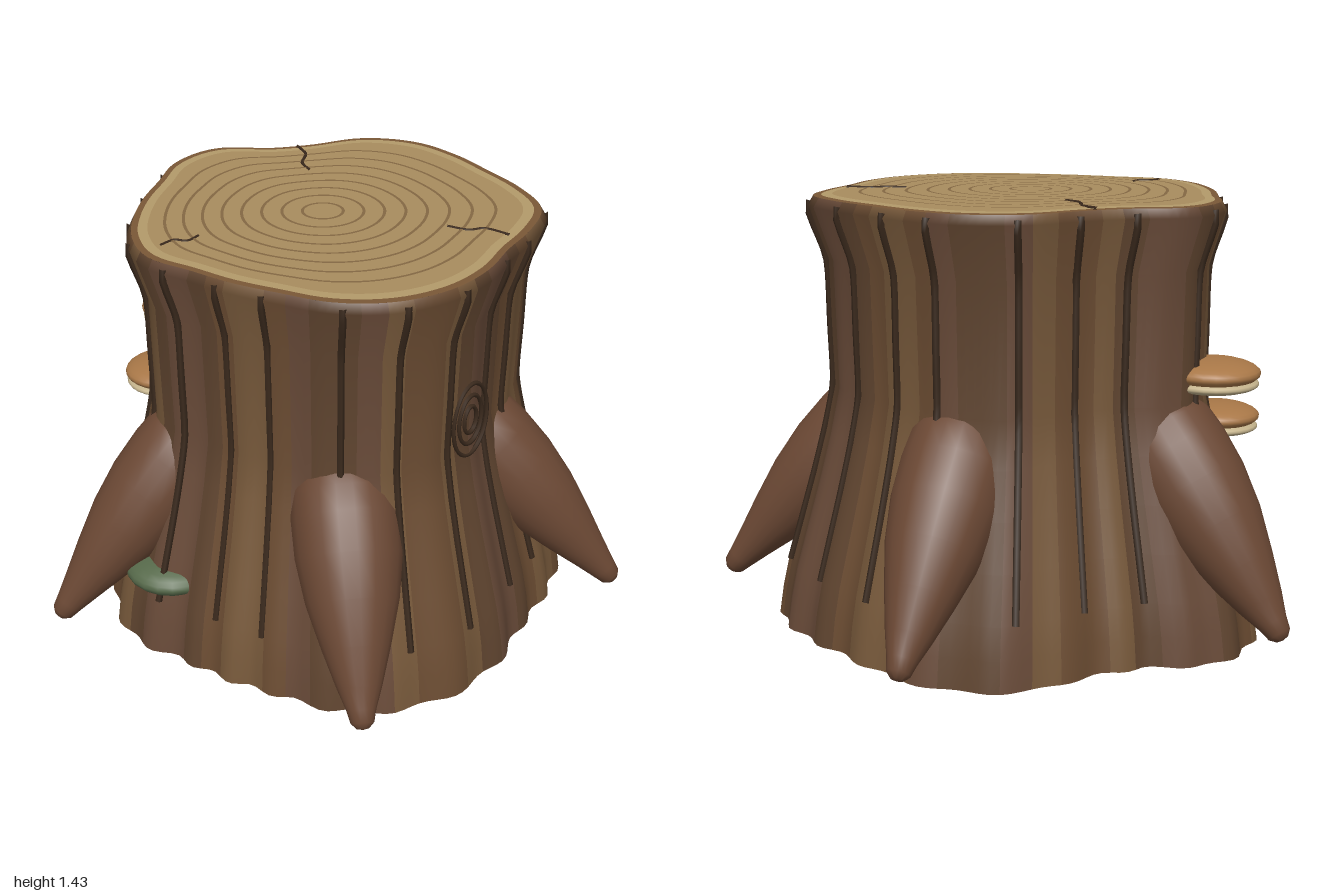
import * as THREE from 'three';
import { toCreasedNormals } from 'three/addons/utils/BufferGeometryUtils.js';

const CX = -0.04, CZ = -0.07, TOP = 1.425, TAU = Math.PI * 2;

// Radius of the cut face every 15 degrees, counted from +x towards +z
const RADII = [0.72, 0.68, 0.65, 0.675, 0.7, 0.703, 0.673, 0.62, 0.602, 0.602, 0.643, 0.635,
  0.615, 0.611, 0.628, 0.69, 0.705, 0.625, 0.632, 0.71, 0.733, 0.705, 0.683, 0.7];
// Height and width factor of the trunk, foot to rim
const PROFILE = [[0, 1.2], [0.1, 1.18], [0.2, 1.15], [0.35, 1.09], [0.5, 1.03], [0.65, 0.975],
  [0.8, 0.93], [1.22, 0.945], [1.395, 1.03], [TOP, 1.005]];

const mat = (color, side = THREE.FrontSide) =>
  new THREE.MeshStandardMaterial({ color, side, roughness: 0.9 });
const DARK = mat(0x3b2a1d);

function outline(a) {
  const n = RADII.length, u = (((a / TAU) % 1) + 1) % 1 * n;
  const i = Math.floor(u), t = u - i;
  const [p, q, r, s] = [-1, 0, 1, 2].map(k => RADII[(i + k + n) % n]);
  return q + 0.5 * t * (r - p + t * (2 * p - 5 * q + 4 * r - s + t * (3 * (q - r) + s - p)));
}

function barkRadius(a, y) {
  let k = 1;
  while (k < PROFILE.length - 1 && PROFILE[k][0] < y) k++;
  const [y0, f0] = PROFILE[k - 1], [y1, f1] = PROFILE[k];
  const f = f0 + (f1 - f0) * (y - y0) / (y1 - y0);
  const flare = Math.pow(1 - y / TOP, 1.2);
  const ripple = 0.013 * Math.sin(25 * a + 1.5 * Math.sin(3 * a));
  const bulge = 0.03 * Math.pow(Math.max(0, Math.cos(a - 3.45)), 4);
  return outline(a) * f + flare * (ripple + bulge);
}

const polar = (a, r, y) => new THREE.Vector3(CX + r * Math.cos(a), y, CZ + r * Math.sin(a));

function add(parent, name, geometry, material) {
  const mesh = new THREE.Mesh(geometry, material);
  mesh.name = name;
  parent.add(mesh);
  return mesh;
}

function group(parent, name) {
  const g = new THREE.Group();
  g.name = name;
  parent.add(g);
  return g;
}

// Flared, open trunk with vertical strips of different browns
function bark() {
  const N = 168, pos = [], lists = [[], [], [], []];
  for (const [y] of PROFILE)
    for (let i = 0; i < N; i++) pos.push(...polar(i / N * TAU, barkRadius(i / N * TAU, y), y).toArray());
  for (let i = 0; i < N; i++) {
    const strip = Math.floor(i / 3), tone = (strip * strip * 7 + strip * 3 + (strip >> 2)) % 4;
    const n = (i + 1) % N;
    for (let j = 0; j < PROFILE.length - 1; j++) {
      const a = j * N + i, b = j * N + n;
      lists[tone].push(a, a + N, b, b, a + N, b + N);
    }
  }
  const g = new THREE.BufferGeometry();
  g.setAttribute('position', new THREE.Float32BufferAttribute(pos, 3));
  g.setIndex(lists.flat());
  let start = 0;
  lists.forEach((l, k) => { g.addGroup(start, l.length, k); start += l.length; });
  g.computeVertexNormals();
  return g;
}

// Flat loop on the cut face; radius is a function of the angle
const loop = radius => Array.from({ length: 120 }, (_, i) => {
  const p = polar(i / 120 * TAU, radius(i / 120 * TAU), 0);
  return new THREE.Vector2(p.x, -p.z);
});

// Flat slice inside one loop, optionally outside another
function slice(outer, inner) {
  const shape = new THREE.Shape(loop(outer));
  if (inner) shape.holes.push(new THREE.Path(loop(inner)));
  return new THREE.ShapeGeometry(shape).rotateX(-Math.PI / 2);
}

// Tapering root: lathe along its axis, with a blunt upper end and a rounded tip
function root(deg, reach, r) {
  const a = deg * Math.PI / 180;
  const from = polar(a, outline(a) * 0.77, 0.685), to = polar(a, reach, 0.122);
  const axis = to.clone().sub(from), L = axis.length();
  const pts = [[0, -0.06], [r * 0.85, -0.05], [r * 0.98, 0.005], [r * 1.02, L * 0.12], [r, L * 0.3],
    [r * 0.87, L * 0.5], [r * 0.64, L * 0.7], [r * 0.42, L * 0.87], [0.048, L * 0.97],
    [0.038, L + 0.018], [0.02, L + 0.036], [0, L + 0.04]].map(p => new THREE.Vector2(...p));
  const g = toCreasedNormals(new THREE.LatheGeometry(pts, 20), 0.9);
  g.applyQuaternion(new THREE.Quaternion().setFromUnitVectors(new THREE.Vector3(0, 1, 0), axis.normalize()));
  return g.translate(from.x, from.y, from.z);
}

export function createModel() {
  const model = new THREE.Group();
  model.name = 'treeStump';

  add(model, 'bark', bark(), [0x6b4c32, 0x5f442f, 0x76583a, 0x684a38].map(c => mat(c, THREE.DoubleSide)));

  // Cut face
  const cut = group(model, 'cutFace');
  add(cut, 'barkRim', slice(a => outline(a) * 1.005), mat(0x7a5837, THREE.DoubleSide)).position.y = TOP;
  add(cut, 'sapwood', slice(a => outline(a) * 0.97), mat(0xb39a6a)).position.y = TOP + 0.002;
  add(cut, 'heartwood', slice(a => outline(a) * 0.92), mat(0xa88c5e)).position.y = TOP + 0.004;

  // Growth rings become less round towards the bark
  const ringMat = mat(0x846843);
  for (let k = 1; k <= 8; k++) {
    const t = k * 0.102, radius = a => t * (0.66 + (outline(a) - 0.66) * t * t);
    const ring = slice(a => radius(a) + 0.005, a => radius(a) - 0.005);
    add(cut, 'growthRing', ring, ringMat).position.y = TOP + 0.006;
  }

  // Cracks as x, z points
  for (const path of [
    [[-0.1, -0.68], [-0.075, -0.6], [-0.09, -0.51], [-0.065, -0.44]],
    [[-0.565, 0.175], [-0.52, 0.135], [-0.48, 0.145], [-0.445, 0.105]],
    [[0.355, 0.075], [0.42, 0.11], [0.47, 0.1], [0.545, 0.155]],
  ]) {
    const curve = new THREE.CatmullRomCurve3(path.map(([x, z]) => new THREE.Vector3(x, TOP + 0.003, z)));
    add(cut, 'crack', new THREE.TubeGeometry(curve, 16, 0.006, 5), DARK);
  }

  // Dark bark ridges following the trunk
  const ridges = group(model, 'barkRidges');
  for (let k = 0; k < 20; k++) {
    const a = (k + 0.12 * Math.sin(k * 2.3)) / 20 * TAU, pts = [];
    for (const y of [0.2, 0.35, 0.5, 0.65, 0.78, 0.82, 1.0, 1.2, 1.24, 1.385, 1.41])
      pts.push(polar(a, barkRadius(a, y) + 0.003, y));
    const curve = new THREE.CatmullRomCurve3(pts, false, 'centripetal');
    add(ridges, 'barkRidge', new THREE.TubeGeometry(curve, 30, 0.012, 5), DARK);
  }

  // Five spreading roots: angle, reach, thickness
  const rootMat = mat(0x6b4834);
  for (const [deg, reach, r] of [[14, 1.03, 0.16], [86, 0.99, 0.176], [159, 0.98, 0.162],
    [233, 1.0, 0.178], [305, 1.035, 0.175]])
    add(model, 'root', root(deg, reach, r), rootMat);

  // Oval knot of nested rings
  const knot = group(model, 'knot'), ka = Math.PI / 4;
  knot.position.copy(polar(ka, barkRadius(ka, 0.885) + 0.004, 0.885));
  knot.rotation.y = Math.PI / 2 - ka;
  knot.scale.x = 0.67;
  for (const r of [0.13, 0.088, 0.048]) add(knot, 'knotRing', new THREE.TorusGeometry(r, 0.008, 6, 36), DARK);

  // Shelf mushrooms: domed cap over a pale underside
  const capMat = mat(0xa87747), gillMat = mat(0xc4b38c);
  for (const [x, y, z, r] of [[-0.53, 0.88, -0.53, 0.155], [-0.605, 0.7, -0.37, 0.142]]) {
    const shelf = group(model, 'shelfMushroom');
    shelf.position.set(x, y, z);
    add(shelf, 'mushroomCap', new THREE.SphereGeometry(r, 24, 14), capMat).scale.y = 0.3;
    const under = add(shelf, 'mushroomUnderside', new THREE.SphereGeometry(r * 0.97, 24, 14), gillMat);
    under.scale.y = 0.2;
    under.position.y = -0.035;
  }

  // Moss cushions low on the side
  const mossMat = mat(0x56694a);
  for (const [x, y, z, r] of [[-0.575, 0.265, 0.25, 0.165], [-0.675, 0.265, 0.02, 0.155]]) {
    const moss = add(model, 'moss', new THREE.SphereGeometry(r, 20, 14), mossMat);
    moss.position.set(x, y, z);
    moss.scale.y = 0.37;
  }

  return model;
}
